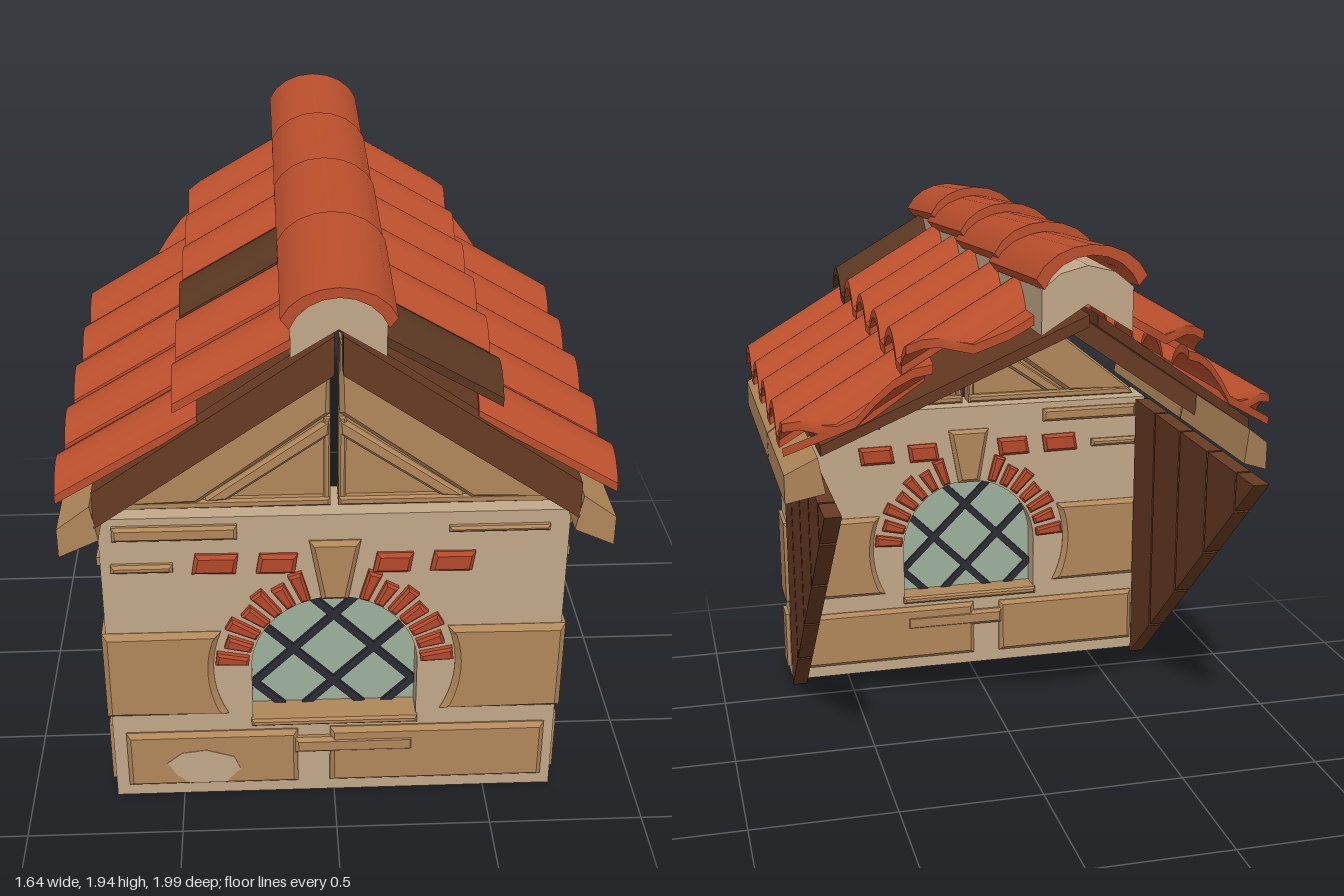
import * as THREE from 'three';
import { toCreasedNormals } from 'three/addons/utils/BufferGeometryUtils.js';

const mat = (name, color) => Object.assign(new THREE.MeshStandardMaterial({ color }), { name });
const M = {
  plaster: mat('plaster', 0xc2a888),
  sandstone: mat('sandstone', 0xb08759),
  clay: mat('clay', 0xba4f2c),
  brick: mat('brick', 0xb4482a),
  burntTile: mat('burnt tile', 0x573620),
  wood: mat('dark wood', 0x663a22),
  glass: mat('glass', 0x9db09c),
  lead: mat('lead', 0x2a2a33),
};

// Back edge of the roof, where it meets the larger sloping roof
const backEdge = (x) => -1 + 0.79 * Math.abs(x);
const lerp = THREE.MathUtils.lerp;

function add(parent, name, geo, material) {
  const mesh = new THREE.Mesh(geo, material);
  mesh.name = name;
  parent.add(mesh);
  return mesh;
}

// Unit box whose vertices (each axis 0..1) are moved by a rule
function warp(nx, nz, rule, crease = 0.5) {
  const geo = new THREE.BoxGeometry(1, 1, 1, nx, 1, nz);
  const p = geo.attributes.position;
  for (let i = 0; i < p.count; i++) {
    p.setXYZ(i, ...rule(p.getX(i) + 0.5, p.getY(i) + 0.5, p.getZ(i) + 0.5));
  }
  return toCreasedNormals(geo, crease);
}

// Flat outline (points or a Shape) extruded from z0 to z1, with an optional chamfer
const outline = (pts) => new THREE.Shape(pts.map(([x, y]) => new THREE.Vector2(x, y)));
function slab(pts, z0, z1, bevel = 0) {
  const shape = Array.isArray(pts) ? outline(pts) : pts;
  const geo = new THREE.ExtrudeGeometry(shape, {
    depth: z1 - z0 - 2 * bevel, bevelEnabled: bevel > 0, bevelSize: bevel, bevelOffset: -bevel,
    bevelThickness: bevel, bevelSegments: 1, curveSegments: 16,
  });
  return geo.translate(0, 0, z0 + bevel);
}
const rect = (x0, x1, y0, y1) => [[x0, y0], [x1, y0], [x1, y1], [x0, y1]];
const mirror = (pts, s) => pts.map(([x, y]) => [s * x, y]);

const ARCH_Y = 0.525, ARCH_R = 0.265, SILL_Y = 0.3;
function archPath(path) {
  path.moveTo(-ARCH_R, SILL_Y);
  path.lineTo(ARCH_R, SILL_Y);
  path.lineTo(ARCH_R, ARCH_Y);
  path.absarc(0, ARCH_Y, ARCH_R, 0, Math.PI, false);
  path.closePath();
  return path;
}

function buildWall() {
  const g = new THREE.Group();
  g.name = 'frontWall';
  const wall = outline(rect(-0.722, 0.722, 0.015, 1.09));
  wall.holes.push(archPath(new THREE.Path()));
  add(g, 'plasterWall', slab(wall, 0.65, 0.82), M.plaster);
  const Z0 = 0.63, Z1 = 0.84;

  // Stone blocks, raised on both faces of the wall
  const stone = (name, pts, bevel = 0.015) => add(g, name, slab(pts, Z0, Z1, bevel), M.sandstone);
  stone('baseBlockRight', rect(-0.68, -0.12, 0.06, 0.275));
  stone('baseBlockLeft', rect(-0.015, 0.69, 0.06, 0.28));
  add(g, 'baseBlockJoint', slab(rect(-0.13, 0.26, 0.185, 0.245), Z0 - 0.003, Z1 + 0.004, 0.012), M.sandstone);
  stone('keystone', [[-0.042, 0.785], [0.042, 0.785], [0.08, 1.0], [-0.08, 1.0]]);
  stone('windowSill', rect(-0.27, 0.27, 0.298, 0.325), 0.008);
  stone('topStripLong', rect(-0.68, -0.3, 1.015, 1.065), 0.01);
  stone('topStripShort', rect(-0.69, -0.5, 0.9, 0.93), 0.01);
  stone('topStripThin', rect(0.35, 0.66, 1.025, 1.045), 0.008);
  add(g, 'chippedPatch', slab([[-0.55, 0.16], [-0.5, 0.2], [-0.42, 0.21], [-0.33, 0.18], [-0.31, 0.13],
    [-0.36, 0.075], [-0.48, 0.075], [-0.52, 0.11]], 0.836, 0.842), M.plaster);

  for (const s of [-1, 1]) {
    // Corner block with an edge curved around the window
    const curve = [];
    for (let i = 0; i <= 10; i++) {
      const y = lerp(0.67, 0.345, i / 10);
      curve.push([Math.sqrt(0.387 ** 2 - (y - ARCH_Y) ** 2), y]);
    }
    stone('cornerBlock', mirror([[0.735, 0.345], [0.735, 0.67], ...curve], s), 0.018);

    // Small stones on the wall ends
    for (const [y0, y1, z0, z1] of [[0.06, 0.28, 0.685, 0.785], [1.015, 1.055, 0.69, 0.78], [0.9, 0.93, 0.7, 0.78]]) {
      const end = add(g, 'endStone', new THREE.BoxGeometry(0.03, y1 - y0, z1 - z0), M.sandstone);
      end.position.set(s * 0.722, (y0 + y1) / 2, (z0 + z1) / 2);
    }

    // Arch bricks
    for (let i = 0; i < 7; i++) {
      const a = THREE.MathUtils.degToRad(7 + 10.6 * i);
      const len = i % 2 ? 0.085 : 0.105, h = 0.019;
      const pts = [[0.275, -h * 0.8], [0.275 + len, -h * 1.2], [0.275 + len, h * 1.2], [0.275, h * 0.8]]
        .map(([x, y]) => [s * (x * Math.cos(a) - y * Math.sin(a)), ARCH_Y + x * Math.sin(a) + y * Math.cos(a)]);
      add(g, 'archBrick', slab(pts, Z0 - 0.004, Z1 + 0.004, 0.008), M.brick);
    }
  }

  // Loose bricks in the plaster
  for (const [x, y, w] of [[-0.37, 0.925, 0.145], [-0.18, 0.922, 0.13], [0.18, 0.917, 0.125], [0.365, 0.917, 0.14]]) {
    add(g, 'wallBrick', slab([[x - w / 2, y - 0.034], [x + w / 2 - 0.01, y - 0.036], [x + w / 2, y + 0.034],
      [x - w / 2 + 0.012, y + 0.036]], Z0, Z1, 0.012), M.brick);
  }

  // Glass and diagonal lead bars, trimmed to the arch
  add(g, 'windowGlass', slab(archPath(new THREE.Shape()), 0.73, 0.738), M.glass);
  const inside = (x, y) => Math.abs(x) < ARCH_R && y > SILL_Y && (y < ARCH_Y || Math.hypot(x, y - ARCH_Y) < ARCH_R);
  for (const s of [-1, 1]) {
    for (const y0 of [0.15, 0.41, 0.67]) {
      const xs = [];
      for (let x = -0.27; x <= 0.27; x += 0.005) if (inside(x, y0 + s * x)) xs.push(x);
      const a = xs[0], b = xs[xs.length - 1], mid = (a + b) / 2;
      const bar = add(g, 'leadBar', new THREE.BoxGeometry((b - a) * Math.SQRT2 + 0.02, 0.026, 0.03), M.lead);
      bar.position.set(mid, y0 + s * mid, 0.734);
      bar.rotation.z = s * Math.PI / 4;
    }
  }
  return g;
}

function buildSideWall(s) {
  const g = new THREE.Group();
  g.name = s > 0 ? 'leftPlankWall' : 'rightPlankWall';
  const low = (z) => 0.01 + (0.61 - z) * 0.893;
  const cuts = [0.61, 0.375, 0.1, -0.18, -0.445, -0.6];
  for (let i = 0; i < 5; i++) {
    const a = cuts[i] - (i ? 0.006 : 0), b = cuts[i + 1] + (i < 4 ? 0.006 : 0);
    const geo = slab([[-a, low(a)], [-b, low(b)], [-b, 1.09], [-a, 1.09]], 0, 0.055);
    geo.rotateY(Math.PI / 2).translate(s > 0 ? 0.672 : -0.727, 0, 0);
    add(g, 'plank', geo, M.wood);
  }
  return g;
}

function buildGable(s) {
  const g = new THREE.Group();
  g.name = s > 0 ? 'leftGable' : 'rightGable';
  const part = (name, pts, z0, z1, b) => add(g, name, slab(mirror(pts, s), z0, z1, b), M.sandstone);
  part('gablePanel', [[0.69, 1.1], [0.012, 1.1], [0.012, 1.655]], 0.715, 0.755, 0);
  part('gableRafter', [[0.68, 1.115], [0.42, 1.115], [0.014, 1.415], [0.014, 1.65]], 0.69, 0.79, 0.015);
  part('gableSill', [[0.69, 1.095], [0.012, 1.095], [0.012, 1.125], [0.66, 1.125]], 0.69, 0.78, 0.008);
  part('gableStrut', [[0.4, 1.12], [0.33, 1.12], [0.014, 1.34], [0.014, 1.395]], 0.695, 0.78, 0.01);
  part('gablePost', [[0.012, 1.12], [0.035, 1.12], [0.035, 1.4], [0.012, 1.4]], 0.7, 0.775, 0.006);
  return g;
}

function buildRoof(s) {
  const g = new THREE.Group();
  g.name = s > 0 ? 'leftRoof' : 'rightRoof';
  // Distance out from the ridge, keeping the box the right way round on both sides
  const out = (u, a, b) => lerp(a, b, s > 0 ? u : 1 - u);
  const boardTop = (x) => 1.765 - 0.69 * x;

  // Roof boarding, verge board and inner rafter
  const board = (name, z0, z1, top, bottom) => add(g, name, warp(1, 1, (u, v, w) => {
    const x = out(u, 0.012, 0.712);
    return [s * x, boardTop(x) - lerp(bottom, top, v), Math.max(lerp(z0, z1, w), backEdge(x))];
  }), M.wood);
  board('roofBoarding', -1.2, 0.97, 0, 0.035);
  board('vergeBoard', 0.92, 0.985, -0.005, 0.115);
  board('innerRafter', 0.05, 0.13, 0.03, 0.115);

  // Eaves beam in two lengths
  for (const [z0, z1] of [[0.185, 0.985], [-0.7, 0.175]]) {
    add(g, 'eavesBeam', warp(1, 1, (u, v, w) => {
      const x = out(u, lerp(0.7, 0.72, v), 0.82);
      const y = out(u, lerp(1.12, 1.235, v), lerp(1.065, 1.16, v));
      return [s * x, y, Math.max(lerp(z0, z1, w), backEdge(x))];
    }), M.sandstone);
  }

  // Two courses of curved tiles
  const courses = [
    { x0: 0.12, x1: 0.47, y0: 1.742, y1: 1.538 },
    { x0: 0.4, x1: 0.82, y0: 1.5, y1: 1.25 },
  ];
  courses.forEach(({ x0, x1, y0, y1 }, row) => {
    for (let k = 0; k < 6; k++) {
      const c = 0.86 - 0.3 * k;
      if (c + 0.1 < backEdge(x0)) continue;
      const burnt = row === 0 && ((s > 0 && k === 0) || (s < 0 && k === 2));
      add(g, burnt ? 'burntTile' : 'roofTile', warp(8, 20, (u, v, w) => {
        const x = out(u, x0, x1);
        const z = Math.max(c + lerp(-0.205, 0.105, w), backEdge(x));
        const d = z - c;
        const hump = Math.abs(d) < 0.11 ? 0.08 * Math.cos(Math.PI * d / 0.22) ** 0.7 : 0;
        const y = lerp(y0, y1, (x - x0) / (x1 - x0)) + hump;
        return [s * x, y - (1 - v) * 0.028, z];
      }, 0.7), burnt ? M.burntTile : M.clay);
    }
  });
  return g;
}

function buildRidge() {
  const g = new THREE.Group();
  g.name = 'ridge';
  add(g, 'ridgeMortar', slab([[-0.135, 1.69], [0, 1.775], [0.135, 1.69], [0.135, 1.82], [0.08, 1.865],
    [0, 1.885], [-0.08, 1.865], [-0.135, 1.82]], -0.93, 0.97), M.plaster);
  // Overlapping arched tiles, each rising towards the back
  const ends = [1, 0.515, 0.02, -0.475, -0.97];
  for (let i = 0; i < 4; i++) {
    const front = ends[i] + (i ? 0.08 : 0), back = ends[i + 1];
    add(g, 'ridgeTile', warp(8, 1, (u, v, w) => {
      const a = lerp(-1.25, 1.25, u), r = lerp(0.85, 1, v);
      const top = lerp(1.95, 1.913, w);
      const drop = 0.092 * (1 - Math.cos(a)) / (1 - Math.cos(1.25));
      return [0.162 * r * Math.sin(a) / Math.sin(1.25), top - drop - (1 - v) * 0.03, lerp(back, front, w)];
    }, 0.6), M.clay);
  }
  return g;
}

export function createModel() {
  const model = new THREE.Group();
  model.name = 'dormerWindow';
  model.add(buildWall(), buildRidge());
  for (const s of [-1, 1]) model.add(buildSideWall(s), buildGable(s), buildRoof(s));
  return model;
}
